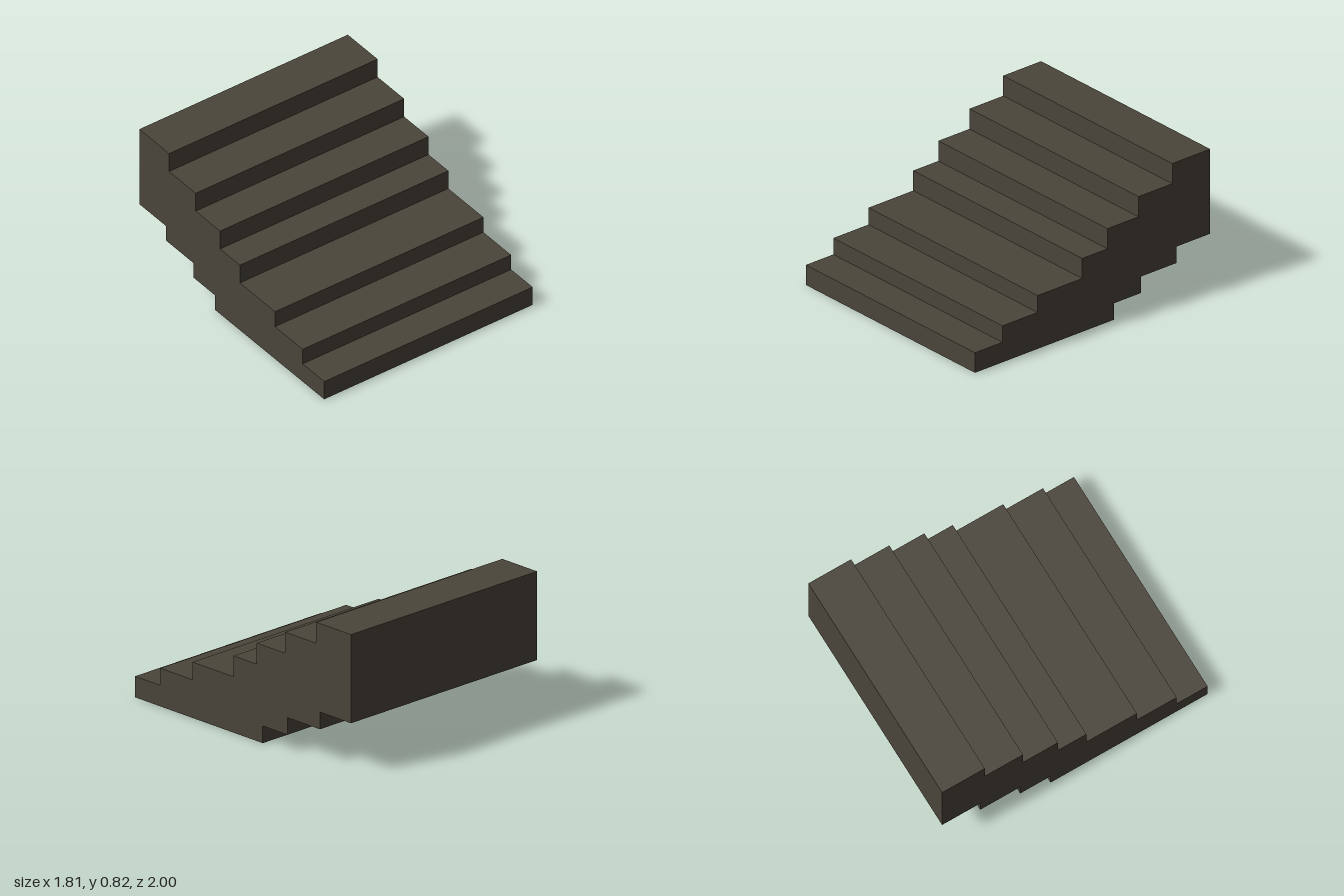
import * as THREE from 'three';

const WIDTH = 1.417, DEPTH = 1.69;

// Riser distance from the front edge and tread height of each step
const STEPS = [
  [0, 0.122], [0.197, 0.222], [0.45, 0.325], [0.771, 0.447],
  [0.952, 0.57], [1.175, 0.693], [1.418, 0.816],
];
// Back end and top of each stepped underside course
const UNDERSIDE = [[1.0, 0.1], [1.193, 0.2], [1.447, 0.3]];

export function createModel() {
  const group = new THREE.Group();
  group.name = 'staircase';

  const stone = new THREE.MeshStandardMaterial({ color: 0x4a453a });
  stone.name = 'dark stone';

  // Side outline: up the underside from the front foot, then down the treads
  const outline = new THREE.Shape();
  outline.moveTo(0, 0);
  let level = 0;
  for (const [end, top] of UNDERSIDE) {
    outline.lineTo(end, level);
    outline.lineTo(end, top);
    level = top;
  }
  outline.lineTo(DEPTH, level);
  outline.lineTo(DEPTH, STEPS[STEPS.length - 1][1]);
  for (let i = STEPS.length - 1; i >= 0; i--) {
    const [riser, top] = STEPS[i];
    outline.lineTo(riser, top);
    if (i > 0) outline.lineTo(riser, STEPS[i - 1][1]);
  }
  outline.closePath();

  // Extrude across the flight, with the lowest step facing the front
  const geometry = new THREE.ExtrudeGeometry(outline, { depth: WIDTH, bevelEnabled: false });
  geometry.rotateY(Math.PI / 2);
  geometry.translate(-WIDTH / 2, 0, DEPTH / 2);

  const steps = new THREE.Mesh(geometry, stone);
  steps.name = 'steps';
  steps.rotation.y = THREE.MathUtils.degToRad(15);
  group.add(steps);
  return group;
}
